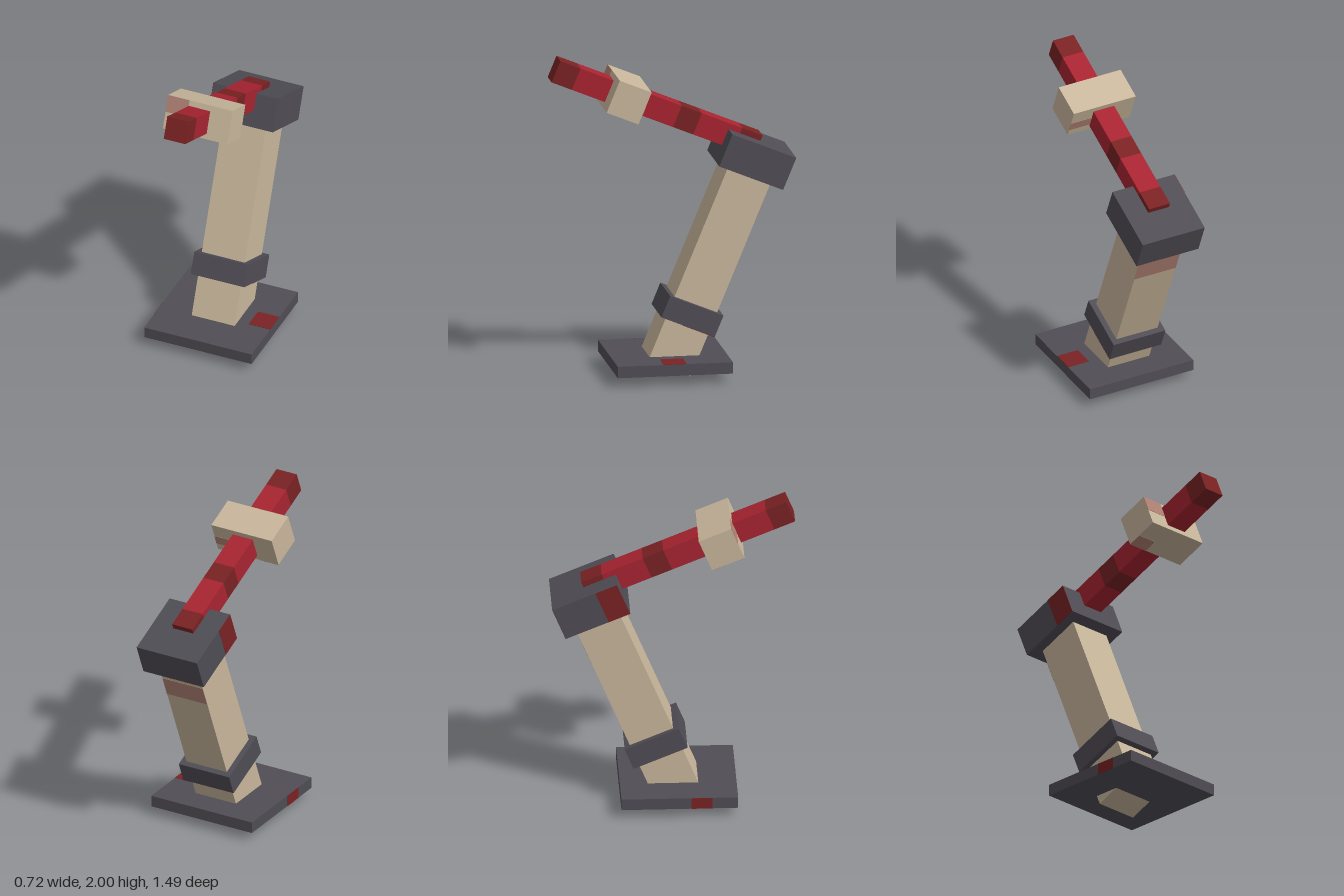
import * as THREE from 'three';

const U = 1 / 14; // modelling unit

const paint = (name, color) => {
  const m = new THREE.MeshStandardMaterial({ color });
  m.name = name;
  return m;
};

export function createModel() {
  const tan = paint('tan', 0xc9b79c);
  const grey = paint('dark grey', 0x504d55);
  const red = paint('red', 0xa82431);
  const darkRed = paint('dark red', 0x7a2223);
  const stain = paint('faded stain', 0xb08273);

  // box from its min and max corners
  const box = (parent, name, mat, a, b) => {
    const mesh = new THREE.Mesh(
      new THREE.BoxGeometry(b[0] - a[0], b[1] - a[1], b[2] - a[2]), mat);
    mesh.position.set((a[0] + b[0]) / 2, (a[1] + b[1]) / 2, (a[2] + b[2]) / 2);
    mesh.name = name;
    parent.add(mesh);
    return mesh;
  };
  // square block centred on the post axis
  const block = (parent, name, mat, width, y0, y1) =>
    box(parent, name, mat, [-width / 2, y0, -width / 2], [width / 2, y1, width / 2]);

  const T = 0.002; // paint thickness
  const model = new THREE.Group();
  model.name = 'leaningCrank';

  // flat base plate
  const base = new THREE.Group();
  base.name = 'base';
  base.position.set(0, 0.06, 0.03);
  model.add(base);
  block(base, 'basePlate', grey, 10 * U, 0, U);
  box(base, 'baseTopPatch', darkRed, [3 * U, U, -U], [5 * U, U + T, U]);
  box(base, 'baseSidePatch', darkRed, [-5 * U - T, 0, U], [-5 * U, U, 2.8 * U]);

  // everything above the base leans back
  const lean = new THREE.Group();
  lean.name = 'leaningArm';
  lean.position.set(0, 0.055, 0.03);
  lean.rotation.x = -Math.PI / 8;
  model.add(lean);

  // post with a stained band on its back
  const capY = 1.292;
  block(lean, 'post', tan, 4 * U, 0, capY);
  box(lean, 'postBackStain', stain, [-2 * U, 1.04, -2 * U - T], [2 * U, 1.18, -2 * U]);

  // collar with a patch underneath
  block(lean, 'collar', grey, 5 * U, 4 * U, 6 * U);
  box(lean, 'collarPatch', darkRed, [2 * U, 4 * U - T, -2.5 * U], [2.5 * U, 4 * U, 0.5 * U]);

  // cap with a patch on its right side
  block(lean, 'cap', grey, 6 * U, capY, capY + 3 * U);
  box(lean, 'capPatch', darkRed, [-3 * U - T, capY, U], [-3 * U, capY + 3 * U, 3 * U]);

  // handle of alternating red segments, from the cap centre forward
  const handle = new THREE.Group();
  handle.name = 'handle';
  handle.position.y = capY + 2.5 * U;
  lean.add(handle);
  const stops = [0, 2, 6, 8, 12, 14, 18, 20];
  for (let i = 0; i < stops.length - 1; i++) {
    box(handle, 'handleSegment', i % 2 ? red : darkRed,
      [-U, -U, stops[i] * 0.95 * U], [U, U, stops[i + 1] * 0.95 * U]);
  }

  // cross block around the handle, with worn patches
  const grip = new THREE.Group();
  grip.name = 'crossBlock';
  grip.position.z = 12.5 * U;
  handle.add(grip);
  const h = 1.5 * U;
  box(grip, 'crossBlockBody', tan, [-3 * U, -h, -h], [3 * U, h, h]);
  box(grip, 'frontStain', stain, [-3 * U, 0, h], [-U, h, h + T]);
  box(grip, 'undersideStain', stain, [-3 * U, -h - T, -h], [-1.15 * U, -h, -0.02]);
  box(grip, 'backStain', stain, [U, -0.055, -h - T], [3 * U, 0.01, -h]);

  return model;
}
